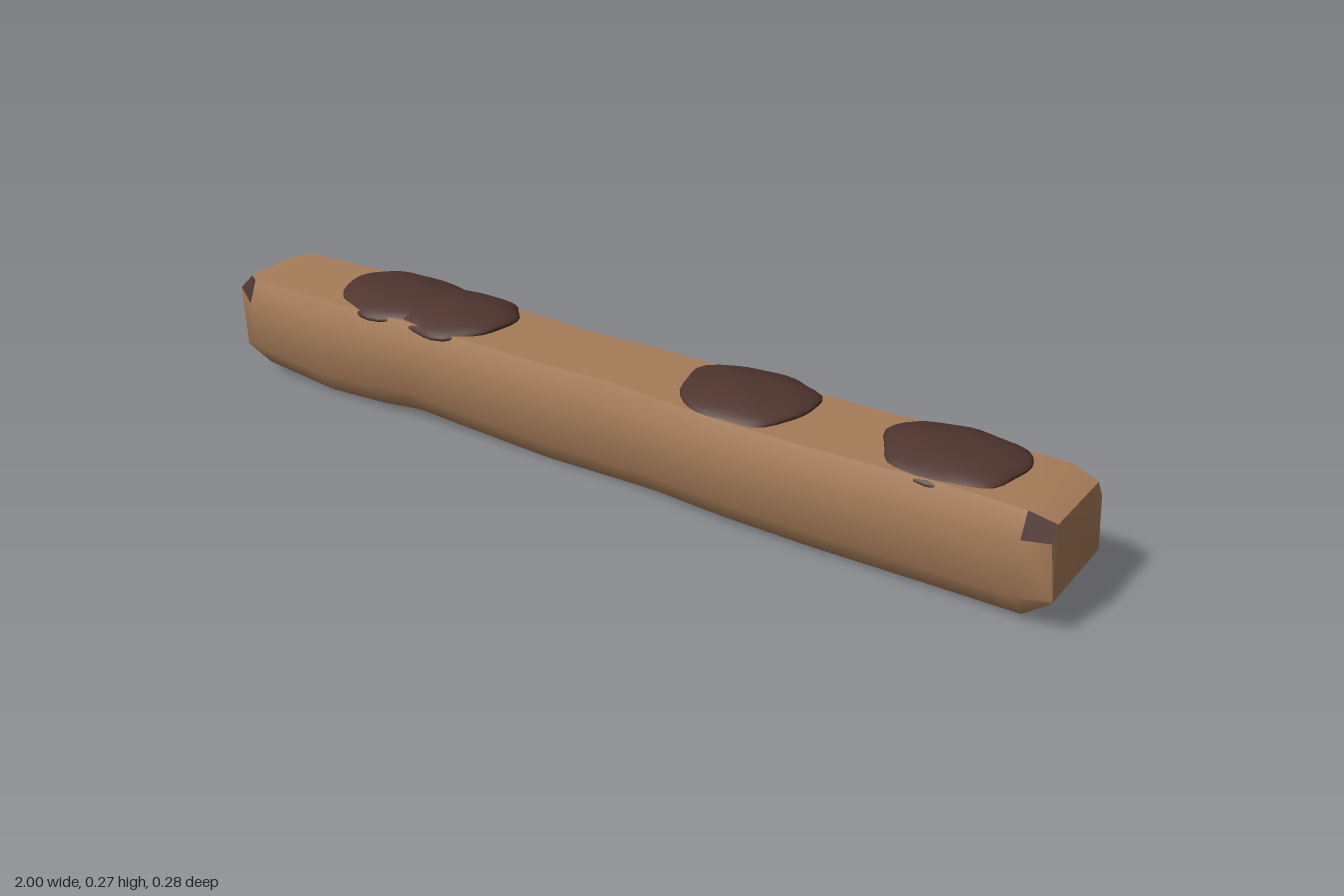
import * as THREE from 'three';
import { toCreasedNormals } from 'three/addons/utils/BufferGeometryUtils.js';

// Chamfered eight-sided cross-section, counter-clockwise seen from +x
function section([x, yb, yt, zb, zf]) {
  return [
    [x, yt, zf - 0.022], [x, yt - 0.05, zf], [x, yb + 0.06, zf], [x, yb, zf - 0.045],
    [x, yb, zb + 0.045], [x, yb + 0.045, zb], [x, yt - 0.055, zb], [x, yt, zb + 0.016],
  ];
}

function facesToMesh(name, tris, material) {
  const geo = new THREE.BufferGeometry();
  geo.setAttribute('position', new THREE.Float32BufferAttribute(tris.flat(2), 3));
  const mesh = new THREE.Mesh(toCreasedNormals(geo, 0.7), material);
  mesh.name = name;
  return mesh;
}

// Flattened, wobbly patch that sags over the back and front edges of the beam
function patch(x, z, rx, rz, top, phase, material) {
  const geo = new THREE.SphereGeometry(1, 36, 20);
  const p = geo.attributes.position;
  for (let i = 0; i < p.count; i++) {
    const ux = p.getX(i), uy = p.getY(i), uz = p.getZ(i);
    const a = Math.atan2(uz, ux);
    const r = Math.hypot(ux, uz);
    const w = 1 + 0.025 * Math.sin(5 * a + phase) * r + 0.018 * Math.sin(8 * a + 2 * phase) * r;
    const sag = uz < 0 ? 0.026 * uz * uz : 0.017 * uz * uz;
    const bump = 0.002 * Math.sin(6 * ux + phase) * Math.cos(5 * uz);
    p.setXYZ(i, x + ux * rx * w, top - 0.024 + uy * 0.024 - sag + bump * (1 - r), z + uz * rz * w);
  }
  geo.computeVertexNormals();
  const mesh = new THREE.Mesh(geo, material);
  mesh.name = 'patch';
  return mesh;
}

export function createModel() {
  const wood = new THREE.MeshStandardMaterial({ color: 0xa67c58 });
  wood.name = 'wood';
  const dark = new THREE.MeshStandardMaterial({ color: 0x4e342e });
  dark.name = 'darkBrown';
  const model = new THREE.Group();
  model.name = 'beamWithPatches';

  // Beam stations: x, bottom, top, back z, front z
  const rings = [
    [-0.95, 0.02, 0.233, -0.105, 0.126],
    [-0.75, 0.005, 0.238, -0.11, 0.132],
    [-0.6, 0.012, 0.238, -0.115, 0.13],
    [-0.5, 0.02, 0.238, -0.116, 0.122],
    [-0.3, 0.008, 0.233, -0.115, 0.118],
    [-0.15, 0, 0.231, -0.112, 0.115],
    [0, 0.002, 0.235, -0.115, 0.113],
    [0.12, 0.01, 0.235, -0.116, 0.122],
    [0.3, 0.012, 0.236, -0.116, 0.138],
    [0.5, 0.008, 0.235, -0.116, 0.136],
    [0.75, 0.008, 0.24, -0.116, 0.131],
    [0.93, 0.012, 0.24, -0.112, 0.135],
  ].map(section);
  // Narrowed, slightly slanted end rings
  rings.unshift([
    [-0.99, 0.225, 0.075], [-0.988, 0.21, 0.112], [-0.98, 0.072, 0.115], [-0.972, 0.04, 0.08],
    [-0.972, 0.04, -0.06], [-0.98, 0.075, -0.095], [-0.992, 0.205, -0.098], [-1, 0.223, -0.062],
  ]);
  rings.push([
    [0.983, 0.222, 0.1], [0.982, 0.19, 0.118], [0.996, 0.08, 0.12], [0.992, 0.068, 0.116],
    [0.992, 0.068, -0.095], [0.996, 0.08, -0.1], [0.99, 0.19, -0.098], [0.984, 0.222, -0.088],
  ]);

  // Skin the rings; worn bevels at the ends go to the dark mesh
  const last = rings.length - 2;
  const woodTris = [], darkTris = [];
  for (let i = 0; i <= last; i++) {
    for (let j = 0; j < 8; j++) {
      const k = (j + 1) % 8;
      const a = rings[i][j], b = rings[i + 1][j], c = rings[i + 1][k], d = rings[i][k];
      const worn = (i === 0 && (j === 0 || j === 6)) || (i === last && (j === 0 || j === 3 || j === 4));
      (worn ? darkTris : woodTris).push([a, d, c], [a, c, b]);
    }
  }
  // End caps
  const first = rings[0], end = rings[rings.length - 1];
  for (let k = 1; k < 7; k++) {
    woodTris.push([end[0], end[k], end[k + 1]], [first[0], first[k + 1], first[k]]);
  }
  model.add(facesToMesh('beam', woodTris, wood), facesToMesh('wornBevels', darkTris, dark));

  // Patches on top
  model.add(
    patch(-0.6, -0.012, 0.143, 0.128, 0.27, 0.4, dark),
    patch(-0.447, -0.012, 0.138, 0.128, 0.266, 1.7, dark),
    patch(0.29, -0.012, 0.142, 0.13, 0.27, 2.9, dark),
    patch(0.735, -0.012, 0.142, 0.128, 0.27, 4.1, dark),
  );
  return model;
}
